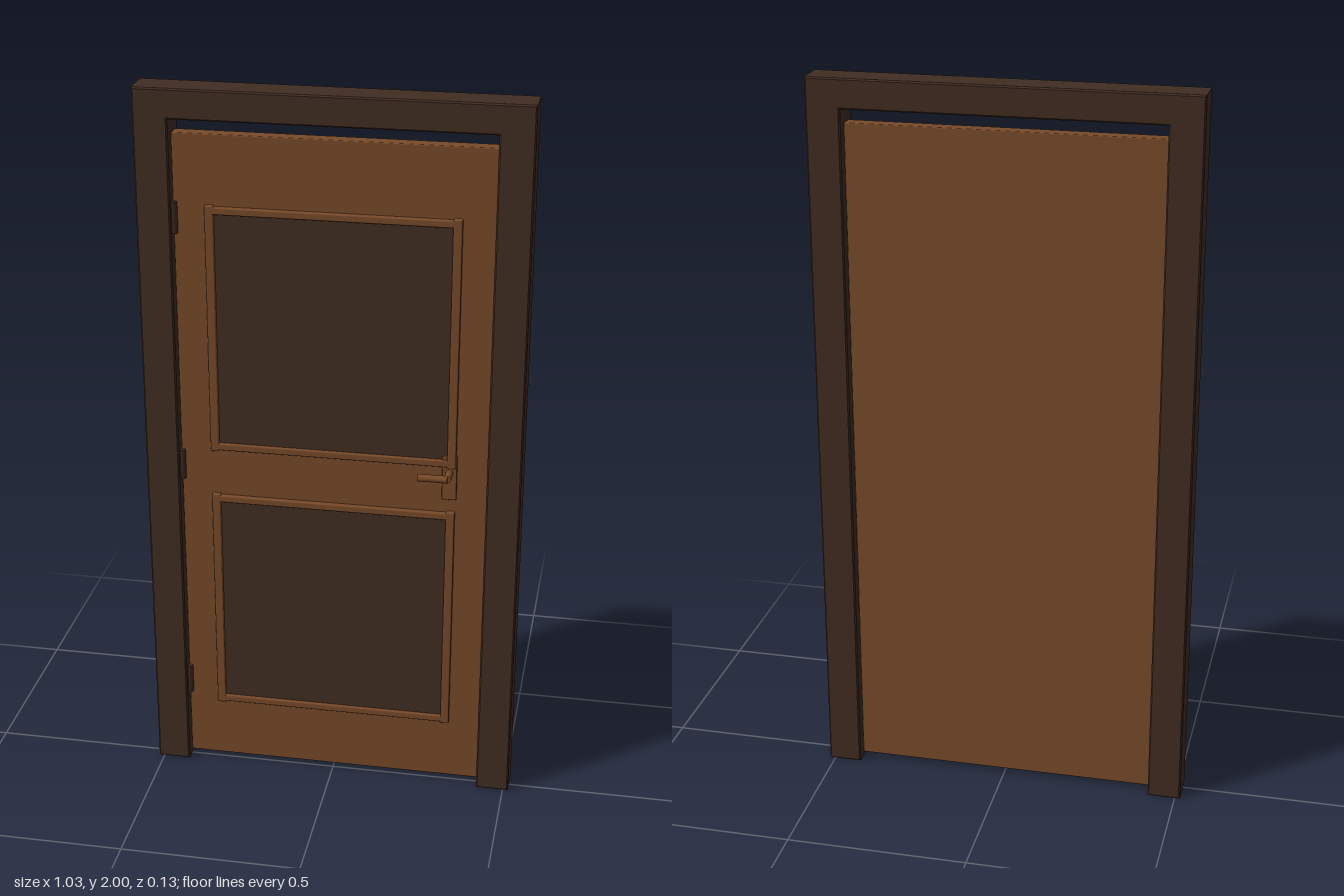
import * as THREE from 'three';
import { RoundedBoxGeometry } from 'three/addons/geometries/RoundedBoxGeometry.js';

export function createModel() {
  const model = new THREE.Group();
  model.name = 'door';

  const material = (name, color) => {
    const m = new THREE.MeshStandardMaterial({ color });
    m.name = name;
    return m;
  };
  const wood = material('warm wood', 0x784a2a);
  const dark = material('dark wood', 0x412c22);

  const add = (name, geometry, mat, x = 0, y = 0, z = 0, parent = model) => {
    const mesh = new THREE.Mesh(geometry, mat);
    mesh.name = name;
    mesh.position.set(x, y, z);
    parent.add(mesh);
    return mesh;
  };
  // Box given by its limits on each axis, optionally with softened edges
  const slab = (name, mat, [x0, x1], [y0, y1], [z0, z1], radius = 0, parent = model) => {
    const size = [x1 - x0, y1 - y0, z1 - z0];
    const geometry = radius ? new RoundedBoxGeometry(...size, 2, radius) : new THREE.BoxGeometry(...size);
    return add(name, geometry, mat, (x0 + x1) / 2, (y0 + y1) / 2, (z0 + z1) / 2, parent);
  };

  // Door frame: one arch with a small bevel
  const arch = new THREE.Shape();
  [[-0.515, 0], [-0.423, 0], [-0.423, 1.92], [0.423, 1.92], [0.423, 0], [0.515, 0], [0.515, 2], [-0.515, 2]]
    .forEach(([x, y], i) => (i ? arch.lineTo(x, y) : arch.moveTo(x, y)));
  const bevel = 0.004;
  add('frame', new THREE.ExtrudeGeometry(arch, {
    depth: 0.098 - 2 * bevel, bevelEnabled: true, bevelThickness: bevel,
    bevelSize: bevel, bevelOffset: -bevel, bevelSegments: 1,
  }), dark, 0, 0, -0.065 + bevel);

  // Door leaf
  const face = 0.004;
  slab('doorLeaf', wood, [-0.422, 0.422], [0.015, 1.88], [-0.036, face], 0.003);

  // Two dark panels, each framed by four mouldings
  for (const [name, y0, y1] of [['lowerPanel', 0.195, 0.865], ['upperPanel', 0.995, 1.693]]) {
    const group = new THREE.Group();
    group.name = name;
    model.add(group);
    slab('panel', dark, [-0.315, 0.315], [y0 + 0.022, y1 - 0.022], [face - 0.002, face + 0.004], 0, group);
    const z = [face - 0.006, face + 0.013];
    for (const s of [-1, 1]) {
      const x = s * 0.325;
      slab('sideMoulding', wood, [x - 0.012, x + 0.012], [y0, y1], z, 0.004, group);
      const y = s < 0 ? y0 + 0.014 : y1 - 0.014;
      slab('crossMoulding', wood, [-0.33, 0.33], [y - 0.01, y + 0.01], z, 0.004, group);
    }
  }

  // Hinges
  for (const y of [0.262, 0.948, 1.655]) {
    add('hinge', new THREE.CylinderGeometry(0.011, 0.011, 0.086, 16), dark, -0.421, y, 0.008);
  }

  // Handle: back plate, stem and lever
  const handle = new THREE.Group();
  handle.name = 'handle';
  model.add(handle);
  slab('backPlate', wood, [0.3, 0.34], [0.902, 1.032], [face - 0.002, face + 0.009], 0.002, handle);
  const rod = new THREE.CylinderGeometry(0.01, 0.01, 1, 16);
  const stem = add('stem', rod, wood, 0.32, 0.982, 0.0285, handle);
  stem.rotation.x = Math.PI / 2;
  stem.scale.y = 0.051;
  const lever = add('lever', rod, wood, 0.28, 0.982, 0.055, handle);
  lever.rotation.z = Math.PI / 2;
  lever.scale.y = 0.08;

  return model;
}
